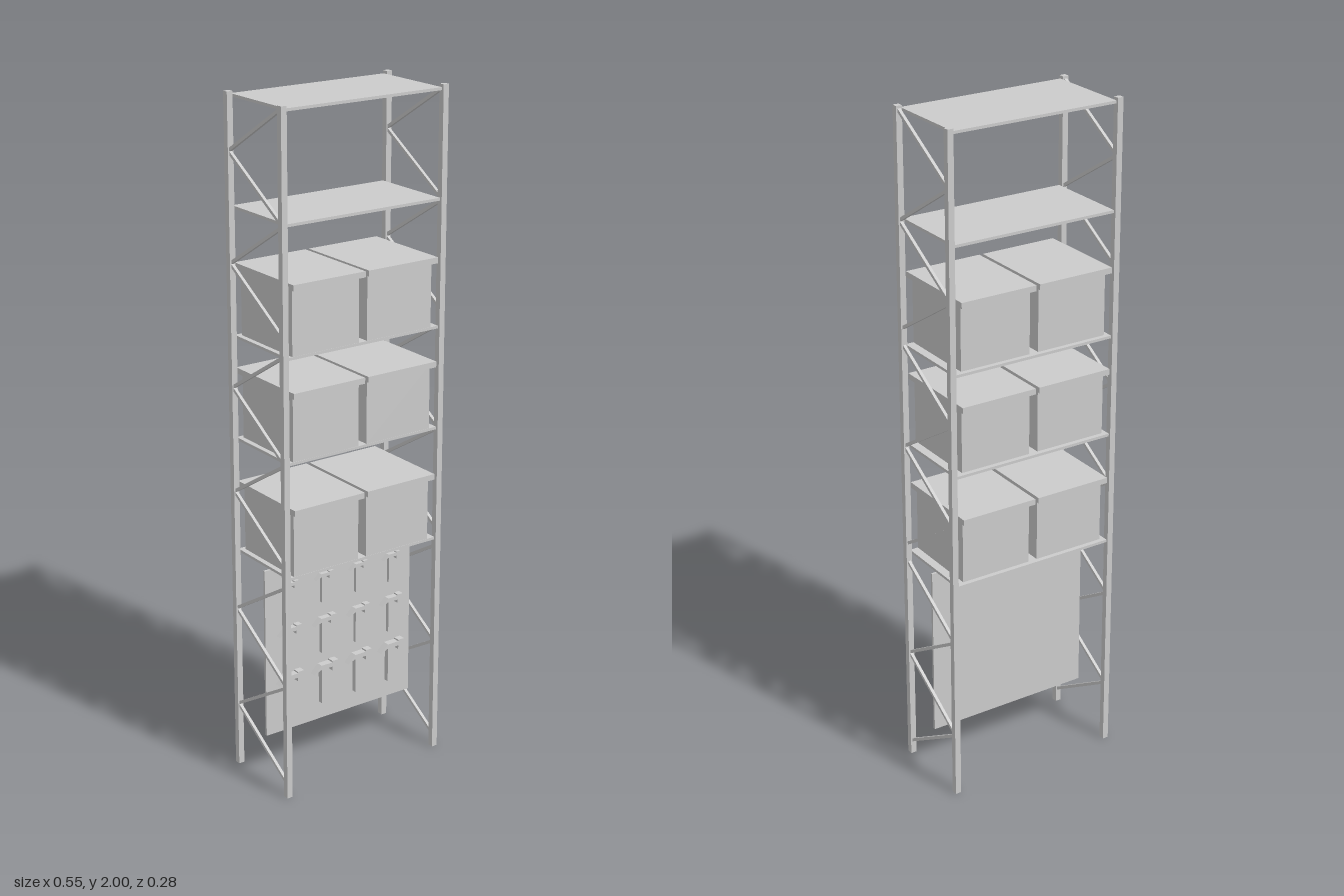
import * as THREE from 'three';

const material = new THREE.MeshStandardMaterial({ color: 0xcccccc, flatShading: true, side: THREE.DoubleSide });

// Box given by its min and max corners
function block(name, [x0, y0, z0], [x1, y1, z1]) {
  const mesh = new THREE.Mesh(new THREE.BoxGeometry(x1 - x0, y1 - y0, z1 - z0), material);
  mesh.name = name;
  mesh.position.set((x0 + x1) / 2, (y0 + y1) / 2, (z0 + z1) / 2);
  return mesh;
}

// Diagonal bar in a side frame between (zA, yA) and (zB, yB)
function brace(x, zA, yA, zB, yB) {
  const dz = zB - zA, dy = yB - yA;
  const mesh = new THREE.Mesh(new THREE.BoxGeometry(0.009, 0.009, Math.hypot(dz, dy)), material);
  mesh.name = 'brace';
  mesh.position.set(x, (yA + yB) / 2, (zA + zB) / 2);
  mesh.rotation.x = -Math.atan2(dy, dz);
  return mesh;
}

// Hammer hanging head up: handle plus a head with a sloping claw
function hammer(headWidth, height, handleWidth) {
  const group = new THREE.Group();
  group.name = 'hammer';
  const h = headWidth / 2, t = headWidth * 0.36;
  const profile = new THREE.Shape();
  profile.moveTo(-h, -t * 0.95);
  profile.lineTo(-h * 0.45, -t * 0.6);
  profile.lineTo(h * 0.5, -t * 0.6);
  profile.lineTo(h * 0.5, -t);
  profile.lineTo(h, -t);
  profile.lineTo(h, 0);
  profile.lineTo(h * 0.5, 0);
  profile.lineTo(h * 0.5, -t * 0.15);
  profile.lineTo(-h * 0.4, -t * 0.15);
  profile.closePath();
  const depth = headWidth * 0.25;
  const head = new THREE.Mesh(new THREE.ExtrudeGeometry(profile, { depth, bevelEnabled: false }), material);
  head.name = 'hammerHead';
  head.position.z = 0.003;
  const w = handleWidth / 2;
  group.add(head, block('hammerHandle', [-w, -height, 0.003], [w, -t * 0.3, 0.003 + handleWidth * 0.6]));
  return group;
}

export function createModel() {
  const model = new THREE.Group();
  const frontZ = 0.12, backZ = -0.133, postX = 0.264;

  // Side frames: square posts with zigzag bracing
  for (const side of [-1, 1]) {
    const frame = new THREE.Group();
    frame.name = side > 0 ? 'leftFrame' : 'rightFrame';
    const x = side * postX;
    for (const z of [frontZ, backZ]) {
      frame.add(block('post', [x - 0.009, 0, z - 0.009], [x + 0.009, 2, z + 0.009]));
    }
    for (const base of [0.04, 0.348, 0.71, 1.02, 1.375, 1.685]) {
      frame.add(brace(x, frontZ, base, backZ, base + 0.155));
      frame.add(brace(x, backZ, base + 0.155, frontZ, base + 0.308));
    }
    model.add(frame);
  }

  // Thin shelves
  for (const y of [0.68, 1.02, 1.32, 1.685, 1.988]) {
    model.add(block('shelf', [-0.254, y - 0.004, -0.137], [0.254, y + 0.004, 0.123]));
  }

  // Lidded storage boxes, two per shelf
  for (const y of [0.684, 1.022, 1.323]) {
    for (const x of [-0.129, 0.1185]) {
      const bin = new THREE.Group();
      bin.name = 'storageBox';
      bin.add(block('boxBody', [x - 0.11, y, -0.123], [x + 0.11, y + 0.19, 0.122]));
      bin.add(block('boxLid', [x - 0.118, y + 0.188, -0.143], [x + 0.118, y + 0.205, 0.141]));
      model.add(bin);
    }
  }

  // Tool board with three rows of hammers, growing towards the bottom
  model.add(block('toolBoard', [-0.258, 0.143, -0.004], [0.258, 0.663, 0.003]));
  const rows = [
    { top: 0.615, headWidth: 0.06, height: 0.095, handleWidth: 0.015 },
    { top: 0.477, headWidth: 0.075, height: 0.117, handleWidth: 0.02 },
    { top: 0.329, headWidth: 0.085, height: 0.13, handleWidth: 0.026 },
  ];
  for (const row of rows) {
    for (const x of [-0.182, -0.06, 0.062, 0.182]) {
      const tool = hammer(row.headWidth, row.height, row.handleWidth);
      tool.position.set(x, row.top, 0);
      model.add(tool);
    }
  }
  return model;
}
